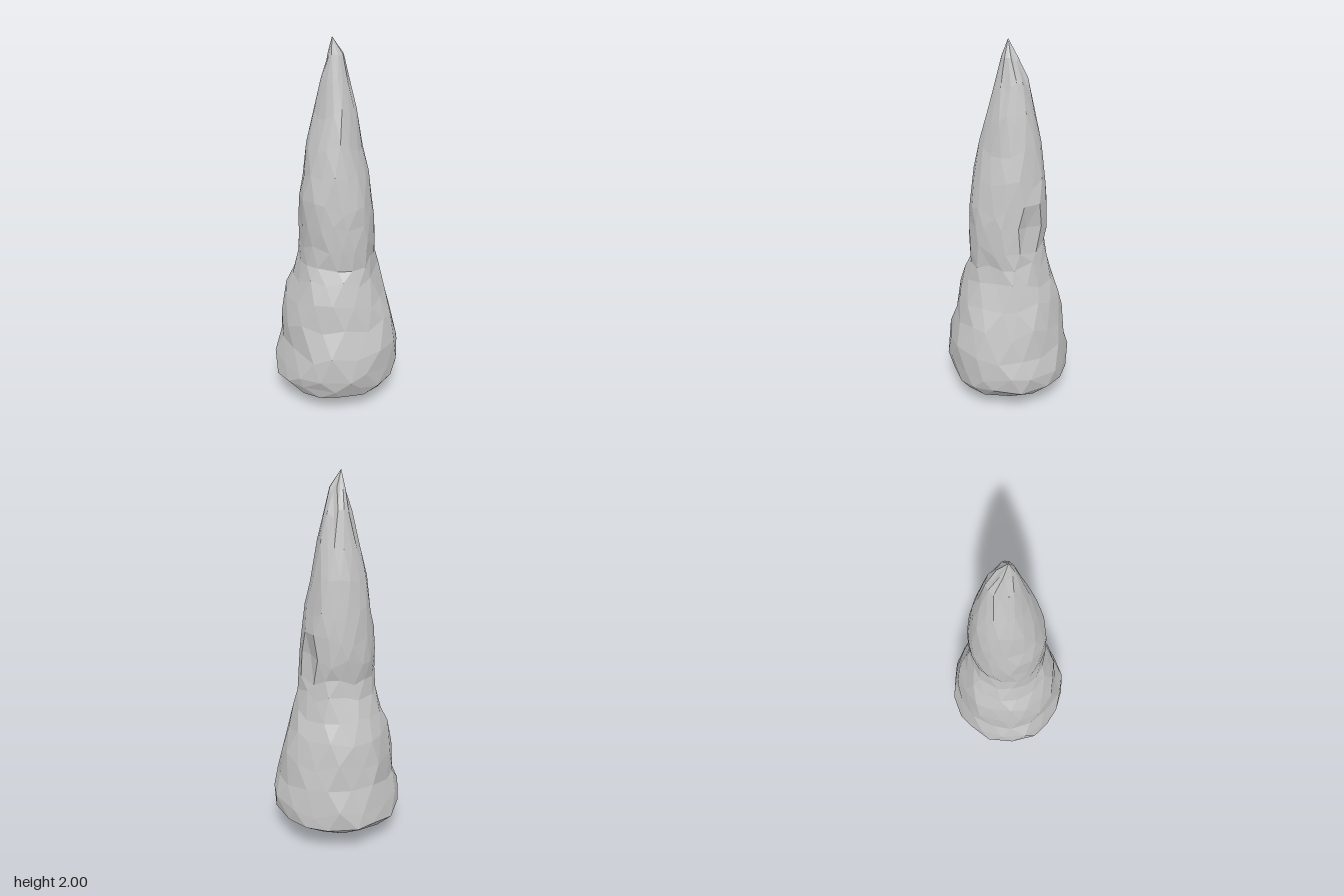
import * as THREE from 'three';

const SIDES = 16;

// Cross-sections from base tip to peak: y, min x, max x, back z, front z
const RINGS = [
  [0, 0, 0, 0, 0],
  [0.06, -0.14, 0.14, -0.15, 0.15],
  [0.125, -0.30, 0.28, -0.29, 0.30],
  [0.18, -0.355, 0.34, -0.335, 0.326],
  [0.26, -0.35, 0.353, -0.335, 0.335],
  [0.38, -0.312, 0.328, -0.312, 0.333],
  [0.52, -0.308, 0.30, -0.295, 0.29],
  [0.66, -0.283, 0.263, -0.277, 0.266],
  [0.77, -0.24, 0.225, -0.24, 0.23],
  [0.87, -0.205, 0.207, -0.207, 0.206],
  [0.96, -0.20, 0.20, -0.195, 0.207],
  [1.07, -0.20, 0.192, -0.203, 0.208],
  [1.18, -0.198, 0.182, -0.205, 0.203],
  [1.32, -0.18, 0.161, -0.195, 0.175],
  [1.48, -0.157, 0.13, -0.17, 0.14],
  [1.64, -0.118, 0.10, -0.137, 0.103],
  [1.79, -0.078, 0.065, -0.095, 0.063],
  [1.91, -0.048, 0.033, -0.047, 0.033],
  [2, -0.025, -0.025, 0, 0],
];

// Local hollows and bulges: angle, height, angular width, vertical width, relative depth
const DENTS = [
  [0.45, 0.82, 0.28, 0.10, -0.14],
  [-0.62, 1.04, 0.22, 0.12, -0.18],
  [-0.95, 1.16, 0.2, 0.08, 0.07],
  [2.6, 0.33, 0.3, 0.06, -0.06],
  [-1.7, 0.9, 0.3, 0.06, -0.06],
];

function seededRandom(seed) {
  return () => {
    seed = (seed * 1664525 + 1013904223) % 4294967296;
    return seed / 4294967296;
  };
}

// One uneven ring of points; odd rings are turned by half a step
function ringPoints([y, x0, x1, z0, z1], row, random) {
  const cx = (x0 + x1) / 2, cz = (z0 + z1) / 2;
  const rx = (x1 - x0) / 2, rz = (z1 - z0) / 2;
  const points = [];
  for (let i = 0; i < SIDES; i++) {
    const a = ((i + (row % 2) / 2 + (random() - 0.5) * 0.4) / SIDES) * Math.PI * 2;
    let k = 1.005 + (random() - 0.5) * 0.045;
    for (const [da, dy, wa, wy, depth] of DENTS) {
      const turn = Math.atan2(Math.sin(a - da), Math.cos(a - da));
      k += depth * Math.exp(-((turn / wa) ** 2) - ((y - dy) / wy) ** 2);
    }
    const lift = rx > 0 ? (random() - 0.5) * Math.min(0.06, y * 0.2, (2 - y) * 0.3) : 0;
    points.push(new THREE.Vector3(cx + Math.cos(a) * rx * k, y + lift, cz + Math.sin(a) * rz * k));
  }
  return points;
}

// Join the staggered rings with triangles, skipping collapsed ones at the tips
function spireGeometry() {
  const random = seededRandom(7);
  const rows = RINGS.map((ring, row) => ringPoints(ring, row, random));
  const positions = [];
  const face = (a, b, c) => {
    if (new THREE.Triangle(a, b, c).getArea() < 1e-7) return;
    for (const p of [a, b, c]) positions.push(p.x, p.y, p.z);
  };
  for (let r = 0; r < rows.length - 1; r++) {
    const low = rows[r], high = rows[r + 1];
    for (let i = 0; i < SIDES; i++) {
      const j = (i + 1) % SIDES;
      if (r % 2 === 0) {
        face(low[i], high[i], low[j]);
        face(high[i], high[j], low[j]);
      } else {
        face(low[i], high[i], high[j]);
        face(low[i], high[j], low[j]);
      }
    }
  }
  const geometry = new THREE.BufferGeometry();
  geometry.setAttribute('position', new THREE.Float32BufferAttribute(positions, 3));
  geometry.computeVertexNormals();
  return geometry;
}

export function createModel() {
  const model = new THREE.Group();
  model.name = 'rockSpire';

  const stone = new THREE.MeshStandardMaterial({ color: 0xc4c4c4, flatShading: true });
  stone.name = 'pale grey stone';

  // Tapering faceted rock with a swollen foot and a pointed underside
  const spire = new THREE.Mesh(spireGeometry(), stone);
  spire.name = 'spire';
  model.add(spire);

  return model;
}
